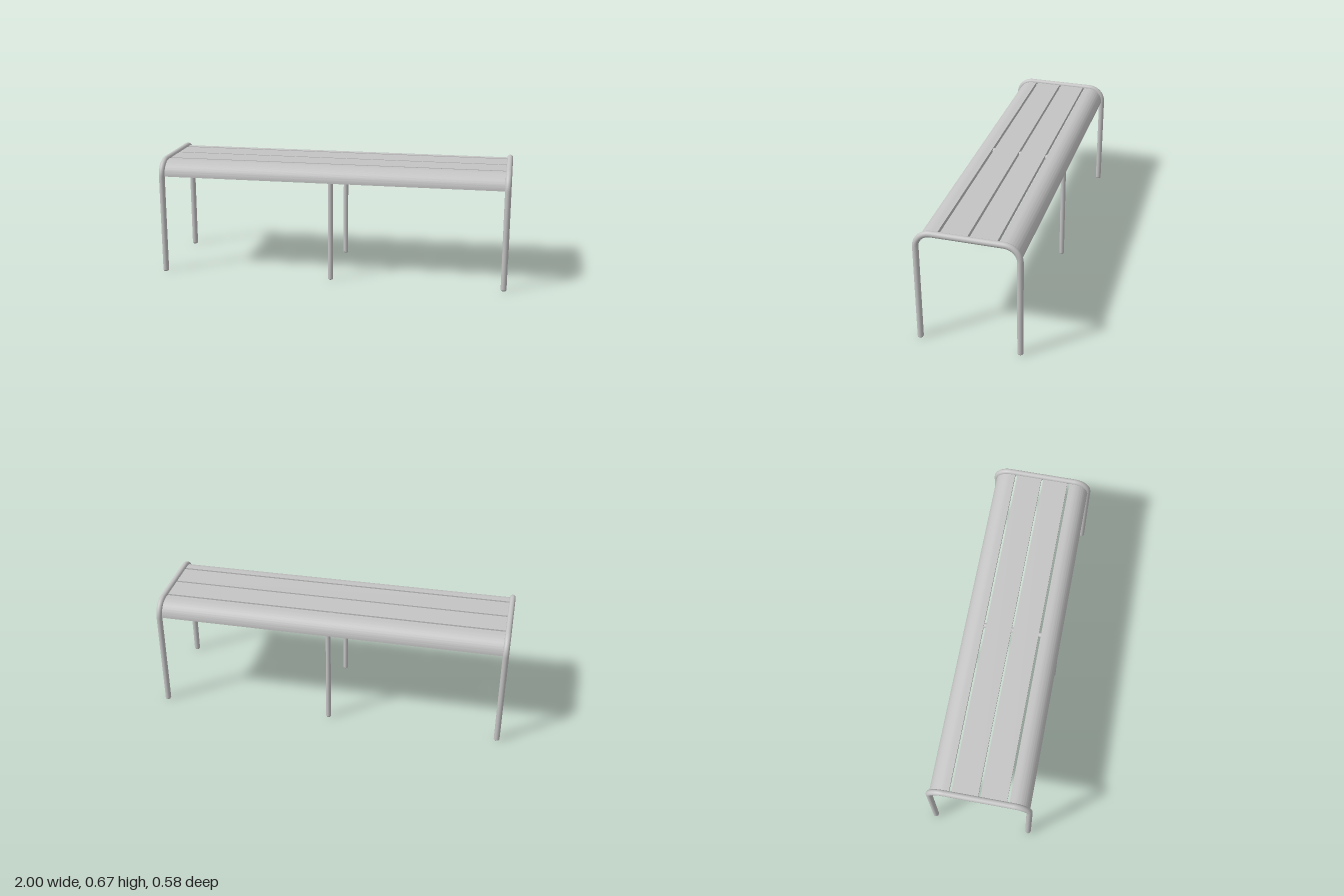
import * as THREE from 'three';
import { toCreasedNormals } from 'three/addons/utils/BufferGeometryUtils.js';

const steel = new THREE.MeshStandardMaterial({ color: 0xc4c4c4 });
steel.name = 'light grey steel';

const BEND_Z = 0.19, BEND_Y = 0.57; // shared centre of all rounded corners
const FOOT = 0.006;

function add(parent, name, geometry) {
  const mesh = new THREE.Mesh(geometry, steel);
  mesh.name = name;
  parent.add(mesh);
  return mesh;
}

// Bent tube hoop in the y-z plane: leg, corner, top rail, corner, leg
function hoop(name, x, bend, radius) {
  const group = new THREE.Group();
  group.name = name;
  group.position.x = x;
  const z = BEND_Z + bend, top = BEND_Y + bend, k = bend * 0.4477;
  const p = (pz, py) => new THREE.Vector3(0, py, pz);
  const path = new THREE.CurvePath();
  path.add(new THREE.LineCurve3(p(z, FOOT), p(z, BEND_Y)));
  path.add(new THREE.CubicBezierCurve3(p(z, BEND_Y), p(z, top - k), p(z - k, top), p(BEND_Z, top)));
  path.add(new THREE.LineCurve3(p(BEND_Z, top), p(-BEND_Z, top)));
  path.add(new THREE.CubicBezierCurve3(p(-BEND_Z, top), p(k - z, top), p(-z, top - k), p(-z, BEND_Y)));
  path.add(new THREE.LineCurve3(p(-z, BEND_Y), p(-z, FOOT)));
  add(group, 'tube', new THREE.TubeGeometry(path, 160, radius, 20, false));

  // Chamfered plugs closing the legs
  for (const s of [1, -1]) {
    const plug = new THREE.CylinderGeometry(radius, radius * 0.75, FOOT, 20);
    add(group, 'foot', toCreasedNormals(plug, 0.5)).position.set(0, FOOT / 2, s * z);
  }
  return group;
}

// Sheet profile drawn as (z, y) and extruded along x
function sheet(shape) {
  const length = 1.95;
  const g = new THREE.ExtrudeGeometry(shape, { depth: length, bevelEnabled: false, curveSegments: 16 });
  g.translate(0, 0, -length / 2);
  g.rotateY(-Math.PI / 2);
  return toCreasedNormals(g, 0.5);
}

export function createModel() {
  const bench = new THREE.Group();
  bench.name = 'bench';

  // End hoops and the slimmer hoop under the middle
  bench.add(hoop('leftFrame', 0.9835, 0.0855, 0.0165));
  bench.add(hoop('rightFrame', -0.9835, 0.0855, 0.0165));
  bench.add(hoop('middleFrame', 0, 0.067, 0.014));

  const outer = 0.086, t = 0.005;
  const top = BEND_Y + outer, lip = 0.632;

  // Edge slat: flat strip with a lip, rolled over the corner
  const edge = new THREE.Shape();
  edge.moveTo(0.163, lip);
  edge.lineTo(0.163 + t, lip);
  edge.lineTo(0.163 + t, top - t);
  edge.lineTo(BEND_Z, top - t);
  edge.absarc(BEND_Z, BEND_Y, outer - t, Math.PI / 2, 0, true);
  edge.lineTo(BEND_Z + outer, BEND_Y);
  edge.absarc(BEND_Z, BEND_Y, outer, 0, Math.PI / 2, false);
  edge.lineTo(0.163, top);
  edge.closePath();

  // Flat slat: shallow channel with both edges folded down
  const a = 0.006, b = 0.15;
  const flat = new THREE.Shape([
    [a, lip], [a + t, lip], [a + t, top - t], [b - t, top - t],
    [b - t, lip], [b, lip], [b, top], [a, top],
  ].map(([z, y]) => new THREE.Vector2(z, y)));

  const edgeGeometry = sheet(edge), flatGeometry = sheet(flat);
  for (const [side, angle] of [['front', 0], ['back', Math.PI]]) {
    add(bench, side + 'EdgeSlat', edgeGeometry).rotation.y = angle;
    add(bench, side + 'FlatSlat', flatGeometry).rotation.y = angle;
  }
  return bench;
}
